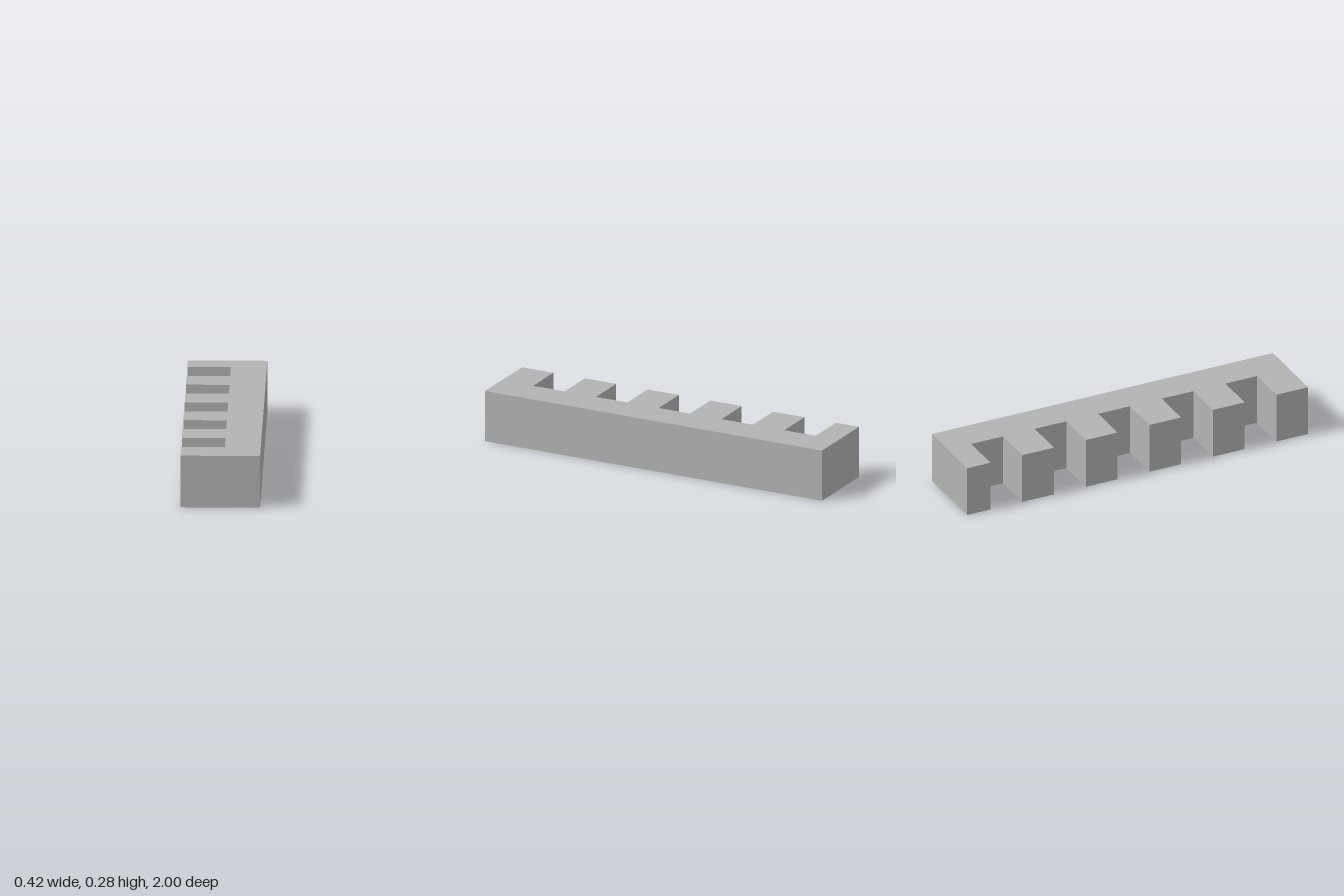
import * as THREE from 'three';

export function createModel() {
  const group = new THREE.Group();
  group.name = 'toothedRack';
  const grey = new THREE.MeshStandardMaterial({ color: 0xb2b4b4 });
  grey.name = 'grey';

  const halfWidth = 0.209, height = 0.28, notchX = 0.02;
  const tooth = 0.1863, notches = 5;

  // Plan outline, with shape y = -z: plain back on +x, notches cut from -x
  const outline = new THREE.Shape();
  outline.moveTo(-halfWidth, -1);
  outline.lineTo(halfWidth, -1);
  outline.lineTo(halfWidth, 1);
  outline.lineTo(-halfWidth, 1);
  for (let i = 0; i < notches; i++) {
    const start = 1 - tooth * (2 * notches - 2 * i);
    const end = start + tooth;
    outline.lineTo(-halfWidth, -start);
    outline.lineTo(notchX, -start);
    outline.lineTo(notchX, -end);
    outline.lineTo(-halfWidth, -end);
  }
  outline.closePath();

  const geometry = new THREE.ExtrudeGeometry(outline, { depth: height, bevelEnabled: false });
  geometry.rotateX(-Math.PI / 2);
  const rack = new THREE.Mesh(geometry, grey);
  rack.name = 'rackBody';
  group.add(rack);
  return group;
}
